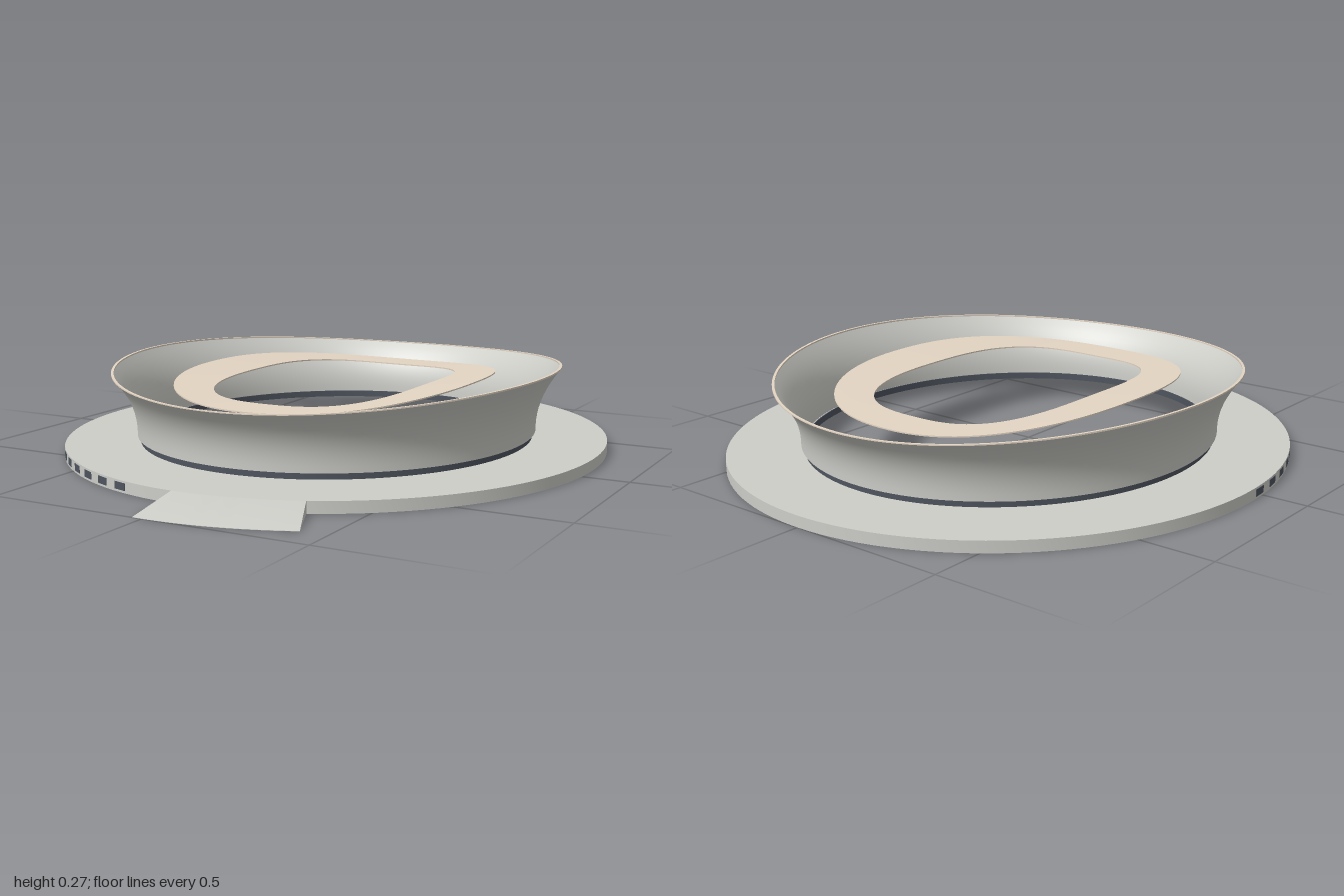
import * as THREE from 'three';
import { toCreasedNormals } from 'three/addons/utils/BufferGeometryUtils.js';

const mat = (name, color, side = THREE.FrontSide) => {
  const m = new THREE.MeshStandardMaterial({ color, side });
  m.name = name;
  return m;
};

// Point on an oval: sharpness 2 is an ellipse, higher is squarer
const oval = (a, b, t, n = 2) => {
  const s = Math.sin(t), c = Math.cos(t);
  const r = 1 / Math.pow(Math.abs(s) ** n + Math.abs(c) ** n, 1 / n);
  return [a * s * r, b * c * r];
};

// Skin a list of rail functions t -> [x, y, z]; the section runs up the outside and over
function loft(rails, t0 = 0, t1 = Math.PI * 2, segs = 128, caps = false) {
  const pos = [], idx = [], n = rails.length;
  for (let i = 0; i <= segs; i++) {
    const t = t0 + (t1 - t0) * i / segs;
    rails.forEach(f => pos.push(...f(t)));
  }
  for (let i = 0; i < segs; i++) {
    for (let j = 0; j < n - 1; j++) {
      const a = i * n + j, b = a + n;
      idx.push(a, b, a + 1, b, b + 1, a + 1);
    }
  }
  if (caps) {
    const e = segs * n;
    for (let j = 1; j < n - 1; j++) idx.push(0, j, j + 1, e, e + j + 1, e + j);
  }
  const g = new THREE.BufferGeometry();
  g.setAttribute('position', new THREE.Float32BufferAttribute(pos, 3));
  g.setIndex(idx);
  return toCreasedNormals(g, 0.5);
}

export function createModel() {
  const model = new THREE.Group();
  const concrete = mat('concrete grey', 0xcdcec8, THREE.DoubleSide);
  const tan = mat('roof tan', 0xe4d5c3);
  const slate = mat('dark slate', 0x4e545e);

  const building = new THREE.Group();
  building.name = 'stadium';
  building.position.z = -0.085;
  model.add(building);
  const add = (name, geo, material, parent = building) => {
    const m = new THREE.Mesh(geo, material);
    m.name = name;
    parent.add(m);
  };

  // Rails from [offset, height] pairs around a base ellipse; lift bends them into a saddle
  const rails = (a, b, pts, lift = () => 0) => pts.map(([o, y]) => t => {
    const [x, z] = oval(a + o, b + o, t);
    return [x, y - lift(y) * Math.cos(2 * t), z];
  });

  // Podium: a deck with an outer skirt, open underneath
  add('podium', loft(rails(0.86, 0.915, [[0, 0], [0, 0.035], [-0.24, 0.035]])), concrete);

  // Wedge ramp at the front
  add('ramp', loft(rails(0.86, 0.915,
    [[-0.005, 0], [0.17, 0], [0.17, 0.001], [0, 0.035], [-0.005, 0.035], [-0.005, 0]]),
  -0.03, 0.42, 12, true), concrete);

  // Row of dark openings along one quarter of the podium edge
  const openings = new THREE.Group();
  openings.name = 'podiumOpenings';
  building.add(openings);
  for (let i = 0; i < 13; i++) {
    const t = -0.235 - i * 0.103;
    add('opening', loft(rails(0.86, 0.915,
      [[-0.002, 0.007], [0.001, 0.007], [0.001, 0.029], [-0.002, 0.029], [-0.002, 0.007]]),
    t - 0.053, t, 3, true), slate, openings);
  }

  // Recessed neck under the bowl
  const A = 0.632, B = 0.688;
  add('neck', loft(rails(A, B,
    [[-0.01, 0.035], [-0.01, 0.056], [-0.014, 0.056], [-0.014, 0.035], [-0.01, 0.035]])), slate);

  // Flaring bowl with a saddle-shaped top
  const lift = y => 0.02 * Math.max(0, (y - 0.055) / 0.195) ** 2;
  const outer = [];
  for (let i = 0; i <= 10; i++) outer.push([0.078 * (i / 10) ** 2.3, 0.055 + 0.0195 * i]);
  const inner = outer.map(([o, y]) => [o - 0.006, y]).reverse();
  add('bowl', loft(rails(A, B, [...outer, ...inner, outer[0]], lift)), concrete);

  // Thin coping on the bowl's top edge
  add('rimCoping', loft(rails(A, B,
    [[0.079, 0.249], [0.079, 0.253], [0.071, 0.253], [0.071, 0.249], [0.079, 0.249]], lift)), tan);

  // Saddle-shaped roof ring, dipping slightly toward its rounded rectangular opening
  const roofRail = (k, drop) => t => {
    const [ox, oz] = oval(0.475, 0.578, t, 2.3);
    const [ix, iz] = oval(0.315, 0.45, t, 3);
    const x = ox + (ix - ox) * k, z = oz + (iz - oz) * k;
    const saddle = 0.02 * ((x / 0.475) ** 2 - (z / 0.578) ** 2);
    return [x, 0.218 + saddle - 0.006 * k - drop, z];
  };
  add('roofRing', loft([roofRail(0, 0.004), roofRail(0, 0), roofRail(0.5, 0), roofRail(1, 0),
    roofRail(1, 0.004), roofRail(0.5, 0.004), roofRail(0, 0.004)]), tan);

  return model;
}
